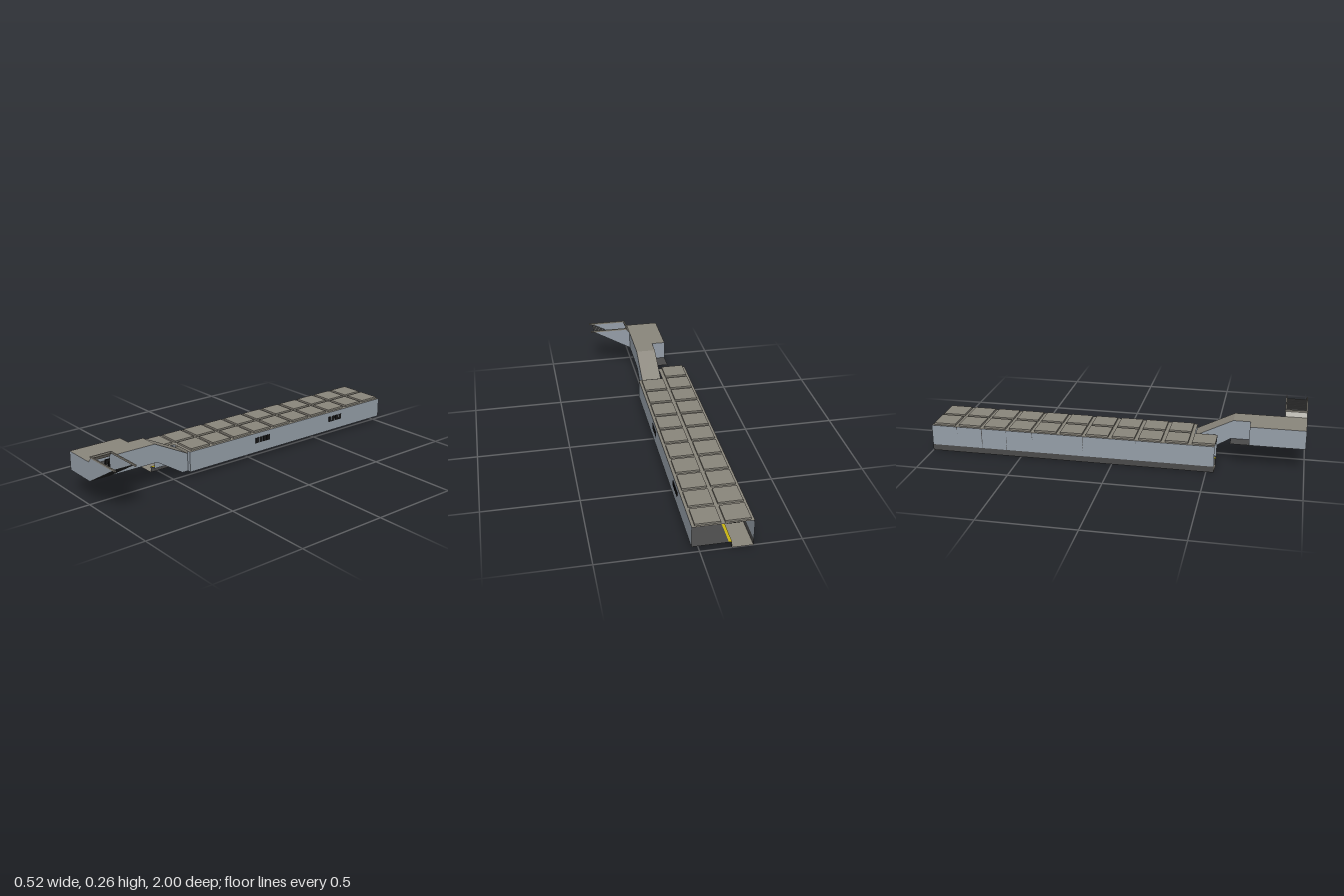
import * as THREE from 'three';

const D = THREE.DoubleSide;
function paint(name, color) {
  const m = new THREE.MeshStandardMaterial({ color, side: D });
  m.name = name;
  return m;
}

export function createModel() {
  const root = new THREE.Group();
  root.name = 'undergroundStation';
  const concrete = paint('concrete', 0x8a867c);
  const wallBlue = paint('wallBlueGrey', 0x959ea8);
  const dark = paint('darkFloor', 0x4a4a4a);
  const black = paint('black', 0x161616);
  const yellow = paint('safetyYellow', 0xc9b512);

  function add(parent, name, geo, mat) {
    const m = new THREE.Mesh(geo, mat);
    m.name = name;
    parent.add(m);
    return m;
  }
  function group(name) {
    const g = new THREE.Group();
    g.name = name;
    root.add(g);
    return g;
  }
  // box given by its min and max on each axis
  function box(parent, name, mat, x0, x1, y0, y1, z0, z1) {
    const m = add(parent, name, new THREE.BoxGeometry(x1 - x0, y1 - y0, z1 - z0), mat);
    m.position.set((x0 + x1) / 2, (y0 + y1) / 2, (z0 + z1) / 2);
    return m;
  }
  const shapeOf = pts => new THREE.Shape(pts.map(p => new THREE.Vector2(p[0], p[1])));
  // flat sheet facing z, points are (x, y)
  function sheetZ(parent, name, mat, z, pts) {
    const m = add(parent, name, new THREE.ShapeGeometry(shapeOf(pts)), mat);
    m.position.z = z;
  }
  // flat sheet facing x, points are (z, y)
  function sheetX(parent, name, mat, x, pts) {
    const m = add(parent, name, new THREE.ShapeGeometry(shapeOf(pts)), mat);
    m.rotation.y = -Math.PI / 2;
    m.position.x = x;
  }
  const rect = (a0, a1, b0, b1) => [[a0, b0], [a1, b0], [a1, b1], [a0, b1]];
  // ribbon swept through a path: along 'z' the points are (z, y) and it spans x; along 'x' the reverse
  function ribbon(parent, name, mat, along, s0, s1, pts) {
    const v = [];
    for (let i = 0; i < pts.length - 1; i++) {
      const [p, q] = [pts[i], pts[i + 1]];
      const at = (r, s) => along === 'z' ? [s, r[1], r[0]] : [r[0], r[1], s];
      const [a, b, c, d] = [at(p, s0), at(p, s1), at(q, s1), at(q, s0)];
      const tris = along === 'z' ? [a, c, b, a, d, c] : [a, b, c, a, c, d];
      tris.forEach(t => v.push(...t));
    }
    const g = new THREE.BufferGeometry();
    g.setAttribute('position', new THREE.Float32BufferAttribute(v, 3));
    g.computeVertexNormals();
    add(parent, name, g, mat);
  }
  function steps(a0, y0, a1, y1, n) {
    const pts = [[a0, y0]];
    for (let i = 0; i < n; i++) {
      const y = y0 + (y1 - y0) * (i + 1) / n;
      pts.push([a0 + (a1 - a0) * i / n, y], [a0 + (a1 - a0) * (i + 1) / n, y]);
    }
    return pts;
  }

  // Platform hall
  const hall = group('platformHall');
  const L = -0.26, R = 0.04, E = -0.155, F = 0.033, C = 0.145;
  ribbon(hall, 'trackBed', concrete, 'z', L, E, [[0.54, 0], [-1, 0]]);
  sheetX(hall, 'platformEdge', dark, E, rect(-1, 0.54, 0, F));
  ribbon(hall, 'platformFloor', dark, 'z', -0.14, R, [[0.42, F], [-1, F]]);
  ribbon(hall, 'platformWalkway', dark, 'z', -0.14, -0.118, [[0.54, F], [0.42, F]]);
  ribbon(hall, 'safetyLine', yellow, 'z', E, -0.14, [[0.54, F], [-1, F]]);
  ribbon(hall, 'stairLanding', dark, 'z', -0.093, 0.018, [[0.45, F], [0.42, F]]);
  sheetX(hall, 'rightBase', dark, L, rect(-1, 0.54, 0, F));
  sheetX(hall, 'rightWall', wallBlue, L, rect(-1, 0.54, F, C));
  sheetX(hall, 'leftWall', wallBlue, R, rect(-1, 0.42, F, C));
  sheetX(hall, 'endSideWall', wallBlue, -0.118, rect(0.42, 0.54, F, C));
  sheetZ(hall, 'frontWallRight', wallBlue, 0.42, rect(-0.118, -0.093, F, C));
  sheetZ(hall, 'frontWallLeft', wallBlue, 0.42, rect(0.018, R, F, C));
  ribbon(hall, 'ceilingRight', concrete, 'z', L, -0.1, [[0.54, C], [-1, C]]);
  ribbon(hall, 'ceilingLeft', concrete, 'z', -0.1, R, [[0.42, C], [-1, C]]);

  // Raised roof slabs and the wall ribs between panels
  for (let i = 0; i < 11; i++) {
    const z = -0.99 + i * 0.1412;
    box(hall, 'roofSlab', concrete, -0.245, -0.12, C, 0.155, z, z + 0.12);
    if (i < 10) box(hall, 'roofSlab', concrete, -0.1, 0.025, C, 0.155, z, z + 0.12);
    if (i) box(hall, 'wallRib', dark, L, L + 0.002, F, C, z - 0.014, z - 0.008);
  }
  box(hall, 'wallTopTrim', dark, L, L + 0.002, 0.138, C, -1, 0.54);

  // Dark boards set through the left wall, and hanging signs
  for (const z0 of [-0.125, -0.68])
    for (let i = 0; i < 4; i++)
      box(hall, 'wallBoard', black, 0.034, 0.042, 0.087, 0.118, z0 + i * 0.0265, z0 + i * 0.0265 + 0.022);
  for (const z of [-0.93, -0.6, -0.25, 0.1]) {
    box(hall, 'hangingSign', black, -0.1, -0.02, 0.115, 0.13, z, z + 0.006);
    for (const x of [-0.09, -0.032]) box(hall, 'signHanger', black, x, x + 0.003, 0.13, C, z + 0.001, z + 0.004);
  }

  // Enclosed stair from the platform up to the concourse
  const stair = group('platformStair');
  const side = [[0.42, F], [0.455, F], [0.61, 0.13], [0.71, 0.13], [0.71, 0.232], [0.62, 0.232], [0.42, 0.132]];
  sheetX(stair, 'stairWallRight', wallBlue, -0.093, side);
  sheetX(stair, 'stairWallLeft', wallBlue, 0.018, side);
  ribbon(stair, 'stairRoof', concrete, 'z', -0.093, 0.018, [[0.62, 0.232], [0.42, 0.132]]);
  ribbon(stair, 'stairSteps', dark, 'z', -0.093, 0.018, steps(0.455, F, 0.61, 0.13, 20).reverse());

  // Concourse box with a notch in one corner
  const hallUp = group('concourse');
  ribbon(hallUp, 'concourseFloor', dark, 'z', -0.17, 0.018, [[1, 0.13], [0.61, 0.13]]);
  ribbon(hallUp, 'concourseRoof', concrete, 'z', -0.17, 0.018, [[1, 0.232], [0.71, 0.232]]);
  ribbon(hallUp, 'concourseRoofNeck', concrete, 'z', -0.093, 0.018, [[0.71, 0.232], [0.62, 0.232]]);
  sheetX(hallUp, 'rightWall', wallBlue, -0.17, rect(0.71, 1, 0.13, 0.232));
  sheetX(hallUp, 'leftWall', wallBlue, 0.018, rect(0.71, 0.885, 0.13, 0.232));
  sheetZ(hallUp, 'notchWall', wallBlue, 0.71, rect(-0.17, -0.093, 0.13, 0.232));
  sheetZ(hallUp, 'frontWall', wallBlue, 1, rect(-0.17, 0.018, 0.13, 0.232));
  for (let i = 0; i < 4; i++)
    box(hallUp, 'ticketGate', black, -0.13 + i * 0.035, -0.12 + i * 0.035, 0.128, 0.155, 0.8, 0.83);

  // Street exit with open stair and rails
  const exit = group('streetExit');
  for (const z of [0.885, 1]) {
    sheetZ(exit, 'exitWall', wallBlue, z, [[0.018, 0.13], [0.24, 0.256], [0.038, 0.256], [0.018, 0.232]]);
    const z0 = z === 1 ? 0.993 : 0.882;
    box(exit, 'exitCoping', concrete, 0.033, 0.26, 0.256, 0.265, z0, z0 + 0.007);
  }
  ribbon(exit, 'exitRoof', concrete, 'x', 1, 0.885, [[0.018, 0.232], [0.038, 0.256]]);
  box(exit, 'exitLintel', concrete, 0.033, 0.04, 0.256, 0.265, 0.885, 0.997);
  ribbon(exit, 'exitSteps', dark, 'x', 1, 0.885, steps(0.018, 0.13, 0.24, 0.256, 22));

  // Train: hollow body with open cab windows at both ends
  const train = group('train');
  train.position.x = -0.2075;
  const zA = -0.85, zB = 0.43;
  const outline = s => shapeOf([[-0.043, 0.033], [0.043, 0.033], [0.043, 0.1], [0.036, 0.106],
    [0.02, 0.109], [-0.02, 0.109], [-0.036, 0.106], [-0.043, 0.1]].map(([x, y]) => [x * s, 0.07 + (y - 0.07) * s]));
  const shell = outline(1);
  shell.holes.push(outline(0.95));
  const face = outline(1);
  const win = m => [[0.015, 0.06], [0.037, 0.06], [0.039, 0.09], [0.035, 0.094], [0.017, 0.094]].map(([x, y]) => [x * m, y]);
  for (const hole of [rect(-0.01, 0.01, 0.036, 0.093), win(1), win(-1)]) face.holes.push(shapeOf(hole));
  const tube = add(train, 'carBody', new THREE.ExtrudeGeometry(shell, { depth: zB - zA, bevelEnabled: false }), concrete);
  tube.position.z = zA;
  for (const z of [zA, zB]) {
    const end = add(train, 'carEnd', new THREE.ExtrudeGeometry(face, { depth: 0.006, bevelEnabled: false }), concrete);
    end.position.z = z;
  }
  for (const s of [-1, 1]) {
    const x = s * 0.0265;
    box(train, 'endTrim', dark, x - 0.014, x + 0.014, 0.052, 0.054, zB + 0.006, zB + 0.008);
    for (let i = -1; i < 2; i++)
      box(train, 'endLamp', black, x + i * 0.006 - 0.002, x + i * 0.006 + 0.002, 0.0555, 0.0585, zB + 0.006, zB + 0.008);
  }
  box(train, 'underframe', black, -0.037, 0.037, 0.022, 0.033, zA, zB);
  for (let i = 0; i < 4; i++) {
    const z = zA + 0.06 + i * 0.32;
    box(train, 'roofUnit', concrete, -0.019, 0.019, 0.108, 0.124, z, z + 0.18);
    for (const dz of [0, 0.14]) {
      box(train, 'bogie', black, -0.034, 0.034, 0.015, 0.023, z + dz, z + dz + 0.05);
      for (const s of [-1, 1])
        box(train, 'wheel', black, s * 0.029 - 0.0075, s * 0.029 + 0.0075, 0.001, 0.02, z + dz + 0.005, z + dz + 0.045);
    }
  }
  return root;
}
